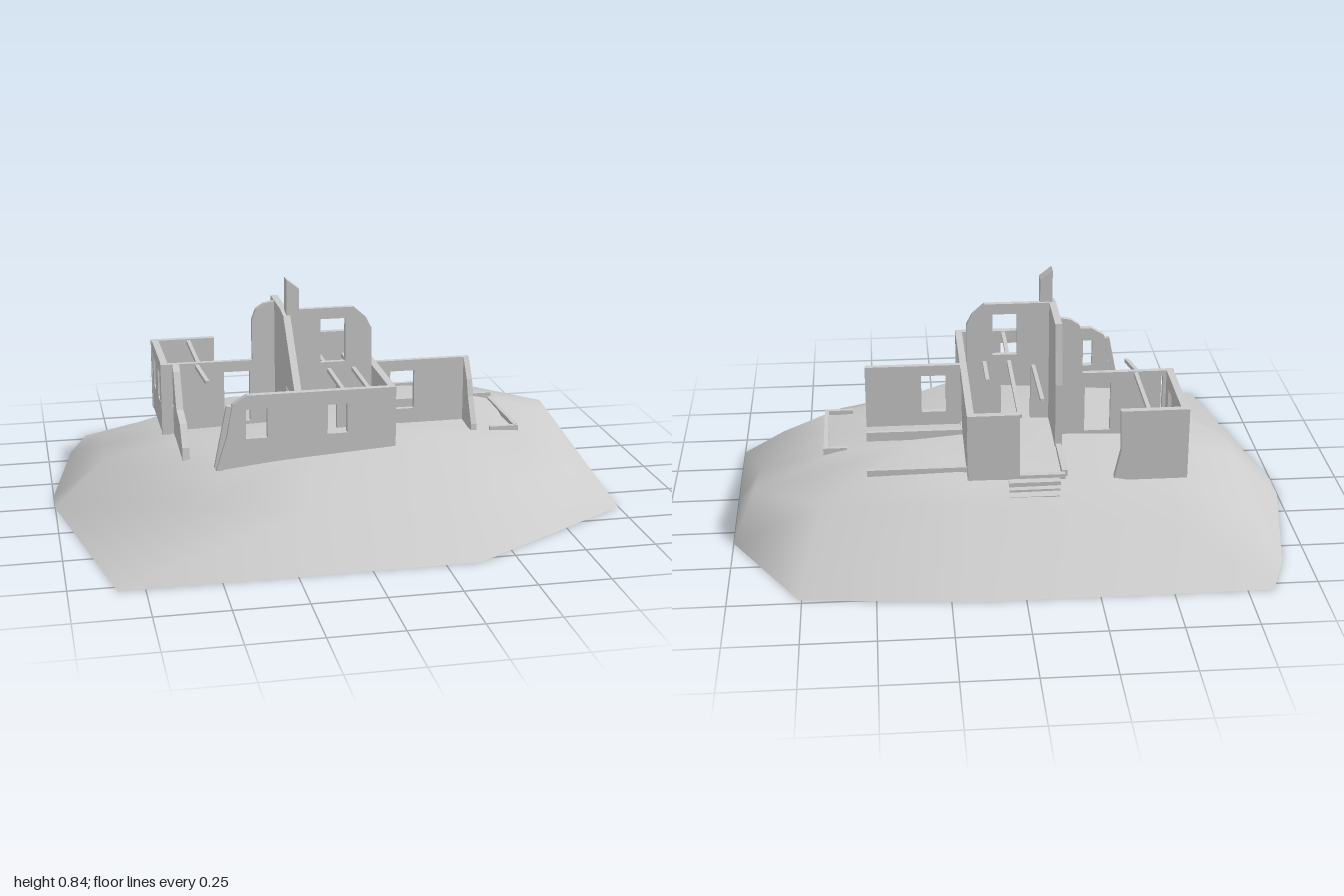
import * as THREE from 'three';

const material = new THREE.MeshStandardMaterial({ color: 0xcccccc, side: THREE.DoubleSide });

function addMesh(group, name, geometry) {
  const mesh = new THREE.Mesh(geometry, material);
  mesh.name = name;
  group.add(mesh);
  return mesh;
}

const rect = (u0, u1, y0, y1) => [[u0, y0], [u1, y0], [u1, y1], [u0, y1]];
const toPoints = (list) => list.map(([u, y]) => new THREE.Vector2(u, y));

// Upright wall: outline in (u, y); axis 'x' runs along x at z = at, axis 'z' along z at x = at
function wall(group, name, axis, at, outline, holes = [], depth = 0.025) {
  const shape = new THREE.Shape(toPoints(outline));
  for (const h of holes) shape.holes.push(new THREE.Path(toPoints(rect(...h))));
  const geo = new THREE.ExtrudeGeometry(shape, { depth, bevelEnabled: false });
  geo.translate(0, 0, -depth / 2);
  if (axis === 'z') geo.rotateY(-Math.PI / 2).translate(at, 0, 0);
  else geo.translate(0, 0, at);
  addMesh(group, name, geo);
}

// Square timber between two points
function beam(group, name, a, b, size = 0.014) {
  const from = new THREE.Vector3(...a), to = new THREE.Vector3(...b);
  const mesh = addMesh(group, name, new THREE.BoxGeometry(size, size, from.distanceTo(to)));
  mesh.position.lerpVectors(from, to, 0.5);
  mesh.lookAt(to);
}

function box(group, name, x0, x1, y0, y1, z0, z1) {
  const mesh = addMesh(group, name, new THREE.BoxGeometry(x1 - x0, y1 - y0, z1 - z0));
  mesh.position.set((x0 + x1) / 2, (y0 + y1) / 2, (z0 + z1) / 2);
}

// Mound spokes: rim x,z / shoulder x,z,y / plateau x,z,y
const SPOKES = [
  [-0.84, -0.79, -0.56, -0.57, 0.135, -0.3, -0.44, 0.24],
  [0.17, -0.79, 0.17, -0.5, 0.205, 0.15, -0.4, 0.255],
  [0.76, -0.73, 0.68, -0.48, 0.215, 0.35, -0.22, 0.315],
  [1, -0.33, 0.92, -0.3, 0.195, 0.61, -0.17, 0.275],
  [1, 0.0, 0.9, -0.15, 0.205, 0.64, 0, 0.265],
  [1, 0.39, 0.84, 0.3, 0.13, 0.67, 0.19, 0.25],
  [0.68, 0.59, 0.62, 0.45, 0.15, 0.44, 0.24, 0.265],
  [0.37, 0.785, 0.29, 0.6, 0.14, 0.18, 0.38, 0.285],
  [-0.2, 0.785, -0.17, 0.58, 0.145, -0.15, 0.38, 0.265],
  [-0.84, 0.785, -0.54, 0.52, 0.17, -0.42, 0.36, 0.245],
  [-1, 0, -0.82, 0.02, 0.18, -0.5, 0.02, 0.25],
  [-1, -0.12, -0.82, -0.14, 0.18, -0.52, -0.12, 0.25],
  [-0.91, -0.6, -0.8, -0.45, 0.12, -0.5, -0.3, 0.25],
];

function moundTop() {
  const n = SPOKES.length, pos = [], index = [];
  for (const [rx, rz, sx, sz, sy, px, pz, py] of SPOKES) pos.push(rx, 0, rz, sx, sy, sz, px, py, pz);
  pos.push(0, 0.265, 0);
  for (let i = 0; i < n; i++) {
    const a = i * 3, b = ((i + 1) % n) * 3;
    for (let k = 0; k < 2; k++) {
      index.push(a + k, a + k + 1, b + k, b + k, a + k + 1, b + k + 1);
    }
    index.push(a + 2, n * 3, b + 2);
  }
  const geo = new THREE.BufferGeometry();
  geo.setAttribute('position', new THREE.Float32BufferAttribute(pos, 3));
  geo.setIndex(index);
  geo.computeVertexNormals();
  return geo;
}

export function createModel() {
  const model = new THREE.Group();
  model.name = 'ruinedHouseOnHill';
  addMesh(model, 'hill', moundTop());
  addMesh(model, 'hillBase', new THREE.ShapeGeometry(new THREE.Shape(toPoints(SPOKES))).rotateX(Math.PI / 2));

  const house = new THREE.Group();
  house.name = 'house';
  model.add(house);
  const B = 0.235, T = 0.5;

  // Outer walls of the main block
  wall(house, 'frontWall', 'x', 0.36,
    [[-0.46, B], [0.17, B], [0.17, T], [-0.35, T], [-0.4, 0.47], [-0.42, 0.36]],
    [[-0.355, -0.28, 0.345, 0.45], [-0.07, 0, 0.345, 0.45]]);
  beam(house, 'brokenPost', [-0.455, 0.24, 0.35], [-0.41, 0.46, 0.35], 0.018);
  wall(house, 'rightWall', 'z', 0.16, rect(-0.4, 0.37, B, T),
    [[0.22, 0.295, 0.35, 0.45], [-0.06, 0.04, 0.27, 0.45]]);
  wall(house, 'backWall', 'x', -0.39, rect(-0.01, 0.17, B, T));
  box(house, 'backDoorSill', -0.17, -0.01, B, 0.265, -0.4, -0.38);

  // Left room
  wall(house, 'leftRoomBackWall', 'x', -0.39,
    [[-0.6, B], [-0.34, B], [-0.365, 0.35], [-0.36, T], [-0.6, T]]);
  wall(house, 'leftRoomSideWall', 'z', -0.585, rect(-0.4, -0.05, B, T),
    [[-0.34, -0.27, 0.34, 0.45], [-0.19, -0.12, 0.34, 0.45]]);
  wall(house, 'leftRoomFrontWall', 'x', -0.06,
    [[-0.6, B], [-0.17, B], [-0.17, 0.72], [-0.22, 0.71], [-0.25, 0.69], [-0.265, 0.65],
      [-0.265, T], [-0.6, T]],
    [[-0.37, -0.275, 0.27, 0.46], [-0.56, -0.53, 0.34, 0.48]], 0.02);
  wall(house, 'brokenLeftWall', 'z', -0.545,
    [[-0.05, 0.22], [0.22, 0.22], [0.21, 0.27], [0.15, 0.34], [0.05, 0.36], [-0.02, 0.48], [-0.05, T]]);

  // Tall inner walls and chimney
  wall(house, 'gableWall', 'z', -0.17,
    [[-0.17, B], [0.35, B], [0.35, T], [0.14, 0.71], [0.08, 0.72], [-0.13, 0.72], [-0.145, 0.62], [-0.17, T]],
    [[0.19, 0.32, 0.26, 0.47]]);
  box(house, 'innerFoundation', -0.18, -0.16, B, 0.27, -0.38, -0.17);
  wall(house, 'upperArchWall', 'x', 0.085,
    [[-0.16, B], [0.15, B], [0.145, 0.64], [0.125, 0.68], [0.08, 0.72], [-0.16, 0.72]],
    [[-0.09, 0.02, 0.26, 0.46], [-0.04, 0.05, 0.52, 0.68]], 0.02);
  wall(house, 'chimney', 'x', 0.11,
    [[-0.17, B], [-0.125, B], [-0.125, 0.805], [-0.17, 0.84]], [], 0.05);

  // Ceiling timbers
  const timbers = [
    [[-0.01, 0.49, -0.39], [-0.01, 0.49, 0.36]],
    [[0.08, 0.49, -0.09], [0.08, 0.49, 0.36]],
    [[-0.1, 0.49, -0.27], [-0.1, 0.47, 0.08]],
    [[-0.46, 0.49, -0.39], [-0.46, 0.49, -0.05]],
    [[-0.47, 0.49, -0.06], [-0.45, 0.47, 0.1]],
  ];
  for (const [a, b] of timbers) beam(house, 'timber', a, b);

  // Right wing: one standing wall with a broken return, and low foundations
  wall(house, 'wingWall', 'x', 0.05, rect(0.17, 0.52, B, T), [[0.225, 0.315, 0.315, 0.46]], 0.02);
  wall(house, 'wingBrokenEnd', 'z', 0.51,
    [[0.05, B], [0.185, B], [0.18, 0.28], [0.13, 0.37], [0.11, 0.43], [0.06, T], [0.05, T]], [], 0.02);
  box(house, 'wingFoundation', 0.17, 0.52, 0.24, 0.285, -0.36, -0.345);
  box(house, 'wingFoundation', 0.17, 0.52, 0.24, 0.305, -0.1, -0.085);

  // Back steps
  for (let i = 0; i < 3; i++) {
    box(model, 'backStep', -0.15 + i * 0.003, 0.03, 0.17, 0.255 - i * 0.017, -0.435 - i * 0.02, -0.405 - i * 0.02);
  }

  // Low garden wall
  box(model, 'gardenWall', 0.66, 0.675, 0.22, 0.27, -0.17, 0.18);
  box(model, 'gardenWall', 0.59, 0.675, 0.22, 0.285, -0.175, -0.16);
  box(model, 'gardenWall', 0.57, 0.675, 0.22, 0.268, 0.175, 0.19);
  return model;
}
